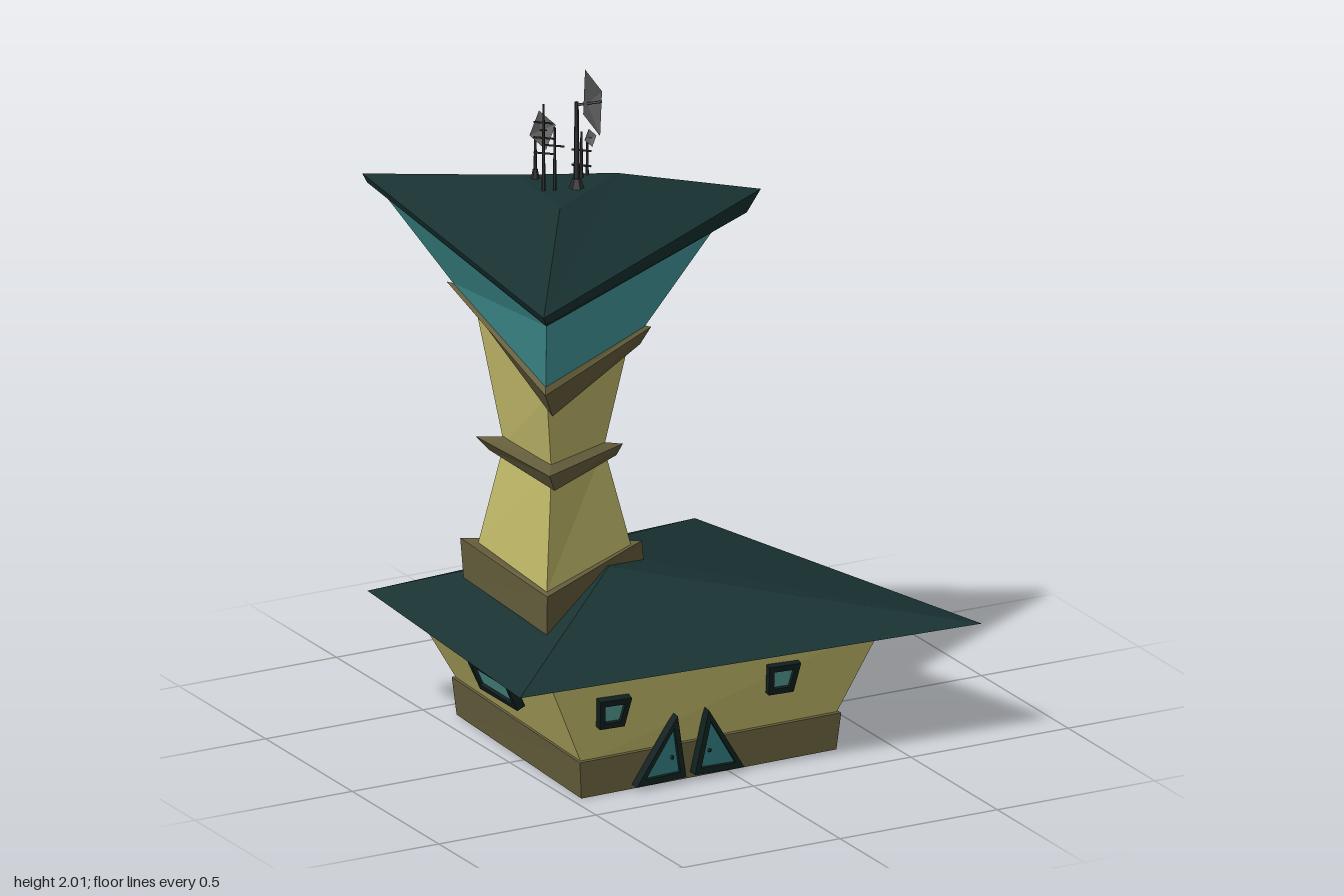
import * as THREE from 'three';

const mat = (color) => new THREE.MeshStandardMaterial({ color, flatShading: true, side: THREE.DoubleSide });
const M = {
  roof: mat(0x193232), wall: mat(0xc6be6c), trim: mat(0x655e3c), teal: mat(0x48a3a5),
  glass: mat(0x569f98), door: mat(0x2f7478), frame: mat(0x10201f), metal: mat(0x7c7c7c), dark: mat(0x2c2c2c),
};

function add(parent, name, geometry, material) {
  const mesh = new THREE.Mesh(geometry, material);
  mesh.name = name;
  parent.add(mesh);
  return mesh;
}

// Skin a stack of rings (counterclockwise seen from above, listed from bottom to top)
function loft(rings, capTop = false) {
  const pos = [];
  const n = rings[0].length;
  for (let r = 0; r < rings.length - 1; r++) {
    for (let i = 0; i < n; i++) {
      const j = (i + 1) % n;
      const a = rings[r][i], b = rings[r][j], c = rings[r + 1][j], d = rings[r + 1][i];
      pos.push(...a, ...b, ...c, ...a, ...c, ...d);
    }
  }
  if (capTop) {
    const t = rings[rings.length - 1];
    for (let i = 1; i < n - 1; i++) pos.push(...t[0], ...t[i], ...t[i + 1]);
  }
  const g = new THREE.BufferGeometry();
  g.setAttribute('position', new THREE.Float32BufferAttribute(pos, 3));
  g.computeVertexNormals();
  return g;
}

// Four-cornered level ring from [x, z] pairs: front left, front right, back right, back left
const level = (corners, y, grow = 0) =>
  corners.map(([x, z]) => [x + Math.sign(x) * grow, y, z + Math.sign(z) * grow]);

// Framed panel: outline points around the local origin, inset for the pane
function panel(parent, name, pts, [sx, sy], paneMat, [x, y, z], yaw, tilt) {
  const g = new THREE.Group();
  g.name = name;
  const cx = pts.reduce((s, p) => s + p[0], 0) / pts.length;
  const cy = pts.reduce((s, p) => s + p[1], 0) / pts.length;
  const inner = pts.map(([px, py]) => new THREE.Vector2(cx + (px - cx) * sx, cy + (py - cy) * sy));
  const shape = new THREE.Shape(pts.map((p) => new THREE.Vector2(...p)));
  shape.holes.push(new THREE.Path(inner));
  const frame = add(g, name + 'Frame', new THREE.ExtrudeGeometry(shape, { depth: 0.028, bevelEnabled: false }), M.frame);
  frame.position.z = -0.008;
  add(g, name + 'Pane', new THREE.ShapeGeometry(new THREE.Shape(inner)), paneMat).position.z = 0.01;
  g.position.set(x, y, z);
  g.rotation.set(tilt, yaw, 0, 'YXZ');
  parent.add(g);
  return g;
}

function rod(parent, name, r, from, to, rTop = r) {
  const a = new THREE.Vector3(...from), b = new THREE.Vector3(...to);
  const m = add(parent, name, new THREE.CylinderGeometry(rTop, r, a.distanceTo(b), 5), M.dark);
  m.position.copy(a).add(b).multiplyScalar(0.5);
  m.quaternion.setFromUnitVectors(new THREE.Vector3(0, 1, 0), b.sub(a).normalize());
}

function house(root) {
  const g = new THREE.Group();
  g.name = 'house';
  root.add(g);
  const foot = [[-0.47, 0.36], [0.35, 0.343], [0.302, -0.415], [-0.437, -0.42]];
  const wallTop = [[-0.6, 0.42], [0.465, 0.405], [0.44, -0.48], [-0.575, -0.48]];
  add(g, 'plinth', loft([level(foot, 0), level(foot, 0.11, 0.01), level(foot, 0.112, -0.005)]), M.trim);
  add(g, 'walls', loft([level(foot, 0.1, -0.003), level(wallTop, 0.37)]), M.wall);

  // Lopsided hip roof with a short ridge running front to back
  const eave = [[-0.72, 0.37, 0.46], [0.72, 0.36, 0.51], [0.43, 0.37, -0.62], [-0.66, 0.37, -0.53]];
  const f = [-0.24, 0.565, 0.1], b = [-0.24, 0.565, -0.09];
  add(g, 'houseRoof', loft([eave, [f, f, b, b]]), M.roof);

  // Small front windows
  const small = [[-0.04, -0.045], [0.04, -0.048], [0.052, 0.043], [-0.05, 0.048]];
  for (const [x, y, z] of [[-0.395, 0.258, 0.394], [0.148, 0.264, 0.383]])
    panel(g, 'frontWindow', small, [0.64, 0.6], M.glass, [x, y, z], 0.02, 0.24);

  // Wide windows on the other walls
  const wide = [[-0.128, -0.06], [0.113, -0.048], [0.128, 0.056], [-0.12, 0.046]];
  const flipped = wide.map(([x, y]) => [-x, y]).reverse();
  const inset = [0.85, 0.64];
  panel(g, 'sideWindow', wide, inset, M.glass, [0.395, 0.223, 0.13], Math.PI / 2 + 0.05, 0.42);
  panel(g, 'sideWindow', flipped, inset, M.glass, [0.377, 0.232, -0.232], Math.PI / 2 + 0.05, 0.42);
  panel(g, 'sideWindow', wide, inset, M.glass, [-0.525, 0.237, -0.02], -Math.PI / 2 - 0.035, 0.45);
  panel(g, 'backWindow', wide, inset, M.glass, [0.16, 0.235, -0.447], Math.PI, 0.23);
  panel(g, 'backWindow', flipped, inset, M.glass, [-0.27, 0.235, -0.447], Math.PI, 0.23);

  // Pair of pointed doors leaning towards each other
  const leaf = [[-0.173, 0], [-0.014, 0.004], [-0.05, 0.195]];
  for (const side of [1, -1]) {
    const pts = side > 0 ? leaf : leaf.map(([x, y]) => [-x, y]).reverse();
    const d = panel(g, 'door', pts, [0.7, 0.72], M.door, [-0.137, 0.015, 0.366], 0.02, 0.08);
    add(d, 'doorKnob', new THREE.SphereGeometry(0.006, 6, 4), M.frame).position.set(-0.06 * side, 0.07, 0.016);
  }
}

function tower(root) {
  const g = new THREE.Group();
  g.name = 'tower';
  root.add(g);
  // Three-cornered rings: front left, right, back
  const shaft = [
    [[-0.5, 0.57, 0.215], [-0.12, 0.582, 0.01], [-0.47, 0.572, -0.235]],
    [[-0.455, 0.9, 0.16], [-0.2, 0.88, 0], [-0.43, 0.88, -0.16]],
    [[-0.505, 1.15, 0.225], [-0.12, 1.18, 0], [-0.46, 1.28, -0.28]],
  ];
  add(g, 'shaft', loft(shaft), M.wall);
  add(g, 'footBand', loft([
    [[-0.512, 0.452, 0.238], [-0.075, 0.49, 0.01], [-0.495, 0.46, -0.275]],
    [[-0.512, 0.565, 0.24], [-0.085, 0.588, 0.01], [-0.5, 0.575, -0.285]],
    shaft[0],
  ]), M.trim);
  add(g, 'waistBand', loft([
    [[-0.45, 0.87, 0.15], [-0.2, 0.86, 0], [-0.43, 0.85, -0.15]],
    [[-0.475, 0.865, 0.215], [-0.16, 0.85, 0], [-0.45, 0.85, -0.21]],
    [[-0.505, 0.92, 0.24], [-0.14, 0.88, 0], [-0.47, 0.88, -0.25]],
    [[-0.45, 0.925, 0.15], [-0.2, 0.895, 0], [-0.43, 0.905, -0.15]],
  ]), M.trim);
  const flareFoot = [[-0.55, 1.21, 0.3], [-0.07, 1.215, 0], [-0.5, 1.315, -0.325]];
  add(g, 'collar', loft([
    [[-0.49, 1.12, 0.21], [-0.14, 1.17, 0], [-0.45, 1.265, -0.26]],
    [[-0.515, 1.11, 0.275], [-0.085, 1.165, 0], [-0.47, 1.26, -0.29]],
    [[-0.565, 1.195, 0.325], [-0.05, 1.21, 0], [-0.51, 1.315, -0.345]],
    flareFoot,
  ]), M.trim);
  const flareTop = [[-0.685, 1.49, 0.55], [0.15, 1.455, -0.01], [-0.6, 1.52, -0.52]];
  add(g, 'flaredCabin', loft([flareFoot, flareTop]), M.teal);
  add(g, 'towerRoof', loft([
    flareTop,
    [[-0.715, 1.515, 0.6], [0.265, 1.488, -0.02], [-0.625, 1.55, -0.595]],
    [[-0.73, 1.542, 0.615], [0.31, 1.55, -0.02], [-0.635, 1.575, -0.605]],
    [[-0.4, 1.655, 0.11], [-0.12, 1.655, -0.07], [-0.37, 1.655, -0.19]],
  ], true), M.roof);
}

// Shallow square dish on a post, facing dir
function dish(parent, [x, y, z], r, dir) {
  const g = new THREE.Group();
  g.name = 'dish';
  const cone = new THREE.ConeGeometry(r, r * 0.16, 4, 1, true).rotateX(-Math.PI / 2);
  add(g, 'dishBowl', cone, M.metal);
  rod(g, 'dishFeed', r * 0.04, [0, 0, -r * 0.4], [0, 0, r * 0.35]);
  g.position.set(x, y, z);
  g.lookAt(x + dir[0], y + dir[1], z + dir[2]);
  parent.add(g);
  const px = x - dir[0] * r * 0.4, pz = z - dir[2] * r * 0.4;
  const thick = Math.max(0.005, r * 0.1);
  rod(parent, 'dishPost', thick, [px, 1.64, pz], [px, y, pz], thick * 0.6);
  add(parent, 'postFoot', new THREE.CylinderGeometry(r * 0.12, r * 0.22, 0.03, 6), M.dark).position.set(px, 1.668, pz);
}

function antennas(root) {
  const g = new THREE.Group();
  g.name = 'antennas';
  root.add(g);
  dish(g, [-0.25, 1.908, 0.01], 0.099, [0.7, 0.22, 0.68]);
  dish(g, [-0.333, 1.802, -0.12], 0.057, [0.35, 0.22, 0.9]);
  dish(g, [-0.195, 1.765, -0.09], 0.026, [0.35, 0.25, 0.9]);
  // Masts with short crossbars
  for (const [x, z, top, bars] of [[-0.37, -0.04, 1.91, 3], [-0.34, -0.03, 1.84, 1], [-0.225, -0.085, 1.79, 2]]) {
    rod(g, 'mast', 0.006, [x, 1.64, z], [x, top, z], 0.003);
    for (let i = 0; i < bars; i++) {
      const y = top - 0.055 - i * 0.045;
      rod(g, 'crossbar', 0.003, [x - 0.025, y + 0.003, z - 0.012], [x + 0.025, y - 0.003, z + 0.012]);
    }
  }
}

export function createModel() {
  const root = new THREE.Group();
  root.name = 'watchtowerHouse';
  house(root);
  tower(root);
  antennas(root);
  return root;
}
